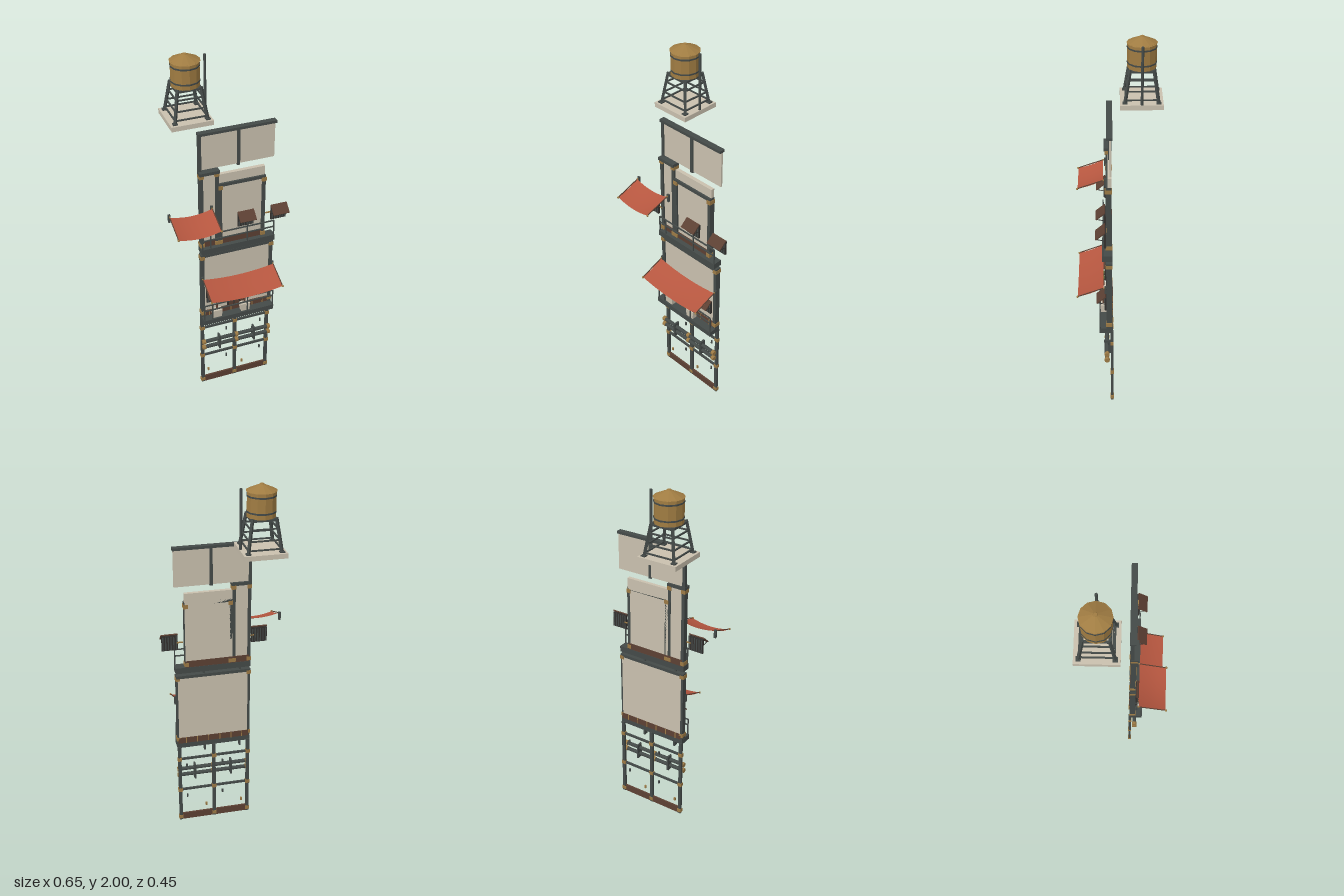
import * as THREE from 'three';

const mat = (color, extra = {}) => new THREE.MeshStandardMaterial({ color, flatShading: true, ...extra });
const M = {
  wall: mat(0xc9c0ae), iron: mat(0x444a48), red: mat(0xb5563f, { side: THREE.DoubleSide, flatShading: false }),
  brown: mat(0x5c4033), dark: mat(0x33302e), gold: mat(0x9c7a45), leaf: mat(0x5a6b30), tank: mat(0xa07c42),
};

export function createModel() {
  const root = new THREE.Group();
  let group = root;
  const section = (name) => { group = new THREE.Group(); group.name = name; root.add(group); };
  const add = (name, geo, m, x = 0, y = 0, z = 0) => {
    const mesh = new THREE.Mesh(geo, m);
    mesh.name = name;
    mesh.position.set(x, y, z);
    group.add(mesh);
    return mesh;
  };
  // Box given by its extents
  const box = (name, m, x0, x1, y0, y1, z0, z1) => add(name, new THREE.BoxGeometry(x1 - x0, y1 - y0, z1 - z0), m,
    (x0 + x1) / 2, (y0 + y1) / 2, (z0 + z1) / 2);
  // Square bar between two points
  const bar = (name, m, a, b, t) => {
    const A = new THREE.Vector3(...a), B = new THREE.Vector3(...b);
    const mesh = add(name, new THREE.BoxGeometry(t, t, A.distanceTo(B)), m);
    mesh.position.copy(A).lerp(B, 0.5);
    mesh.lookAt(B);
    return mesh;
  };
  const post = (x, y0, y1, z0 = 0.035, z1 = 0.065, w = 0.018) => box('post', M.iron, x - w / 2, x + w / 2, y0, y1, z0, z1);
  const bracket = (x, y, z0 = 0.033, z1 = 0.069) => box('jointBracket', M.gold, x - 0.012, x + 0.012, y - 0.011, y + 0.011, z0, z1);

  // Sagging cloth awning with wall hooks and front weights
  const awning = (x0, x1, yBack, yFront) => {
    const geo = new THREE.PlaneGeometry(2, 1, 16, 6);
    const p = geo.attributes.position;
    for (let i = 0; i < p.count; i++) {
      const u = p.getX(i), v = 0.5 - p.getY(i);
      const sag = 0.018 * (1 - u * u) + 0.006 * Math.sin(Math.PI * v);
      p.setXYZ(i, (x0 + x1) / 2 + u * (x1 - x0) / 2, yBack + (yFront - yBack) * v - sag, 0.08 + 0.135 * v);
    }
    geo.computeVertexNormals();
    add('awningCloth', geo, M.red);
    for (const x of [x0, x1]) {
      box('awningHook', M.iron, x - 0.006, x + 0.006, yBack - 0.035, yBack + 0.01, 0.063, 0.074);
      bar('awningRope', M.gold, [x, yBack, 0.068], [x, yBack, 0.082], 0.006);
      bar('awningEdge', M.brown, [x, yBack, 0.08], [x, yFront, 0.217], 0.004);
      add('awningKnob', new THREE.IcosahedronGeometry(0.006, 1), M.gold, x, yFront, 0.216);
    }
  };

  // Slatted window under a small tilted hood
  const shutter = (x, y) => {
    box('window', M.dark, x - 0.043, x + 0.043, y, y + 0.082, 0.064, 0.074);
    for (let i = 0; i < 6; i++) {
      const sx = x - 0.036 + i * 0.0144;
      box('windowSlat', M.iron, sx - 0.003, sx + 0.003, y + 0.003, y + 0.078, 0.062, 0.077);
    }
    const hood = box('windowHood', M.brown, x - 0.045, x + 0.045, y + 0.067, y + 0.073, 0.065, 0.126);
    hood.position.z = 0.093;
    hood.rotation.x = 0.72;
    for (const s of [-1, 1]) bar('hoodStay', M.dark, [x + s * 0.038, y + 0.04, 0.07], [x + s * 0.038, y + 0.05, 0.113], 0.003);
  };

  // Two-rail balcony railing
  const railing = (y0, heights, z) => {
    for (const h of heights) box('rail', M.iron, -0.15, 0.25, h - 0.003, h + 0.003, z - 0.003, z + 0.003);
    for (const x of [-0.15, -0.105, 0.1, 0.25])
      box('railPost', M.iron, x - 0.003, x + 0.003, y0, heights.at(-1) + (x === 0.1 ? 0.03 : 0), z - 0.003, z + 0.003);
  };

  // Open ground-floor frame
  section('groundFrame');
  box('sill', M.brown, -0.15, 0.25, 0, 0.04, 0.033, 0.043);
  for (const x of [-0.145, 0.05, 0.245]) {
    post(x, 0, 0.49, 0.03, 0.044);
    for (const y of [0.02, 0.205, 0.41]) bracket(x, y, 0.028, 0.046);
  }
  for (const y of [0.205, 0.41]) box('crossbar', M.iron, -0.15, 0.25, y - 0.006, y + 0.006, 0.033, 0.043);
  for (const x of [0, 0.205]) {
    for (const y of [0.16, 0.365]) box('latch', M.iron, x - 0.004, x + 0.004, y - 0.01, y + 0.01, 0.033, 0.04);
    box('handle', M.gold, x - 0.115, x - 0.105, 0.075, 0.093, 0.033, 0.041);
  }
  box('handle', M.gold, 0.09, 0.1, 0.075, 0.093, 0.033, 0.041);

  // Paired pipes with collars and clamps
  section('pipes');
  for (const y of [0.288, 0.327]) {
    add('pipe', new THREE.CylinderGeometry(0.011, 0.011, 0.39, 10), M.iron, 0.05, y, 0.064).rotation.z = Math.PI / 2;
    for (const x of [-0.145, 0.05, 0.245])
      add('pipeCollar', new THREE.CylinderGeometry(0.014, 0.014, 0.018, 10), M.gold, x, y, 0.064).rotation.z = Math.PI / 2;
  }
  for (const x of [-0.053, 0.155]) box('pipeClamp', M.iron, x - 0.005, x + 0.005, 0.262, 0.352, 0.044, 0.08);

  // Middle storey
  section('middleStorey');
  box('balcony', M.iron, -0.155, 0.255, 0.485, 0.515, 0.035, 0.105);
  for (const x of [-0.1, 0.1]) box('joist', M.iron, x - 0.005, x + 0.005, 0.455, 0.485, 0.035, 0.06);
  box('wall', M.wall, -0.14, 0.245, 0.54, 0.925, 0.035, 0.056);
  box('baseboard', M.brown, -0.145, 0.25, 0.515, 0.55, 0.033, 0.061);
  for (let i = 0; i < 6; i++) box('baseBlock', M.gold, -0.112 + i * 0.063, -0.107 + i * 0.063, 0.515, 0.55, 0.031, 0.063);
  for (const x of [-0.145, 0.245]) {
    post(x, 0.515, 0.935);
    for (const y of [0.54, 0.915]) bracket(x, y);
  }
  box('topBeam', M.iron, -0.155, 0.255, 0.918, 0.935, 0.033, 0.067);
  box('door', M.brown, 0, 0.1, 0.55, 0.73, 0.054, 0.064);
  for (const x of [0.0, 0.033, 0.066, 0.1]) box('doorStrip', M.dark, x - 0.003, x + 0.003, 0.55, 0.73, 0.055, 0.067);
  for (const x of [-0.085, 0.185]) shutter(x, 0.615);
  railing(0.515, [0.58, 0.615], 0.1);
  awning(-0.15, 0.255, 0.785, 0.73);

  // Planters with small trees
  section('planters');
  for (const x of [-0.073, 0.09]) {
    const pot = add('pot', new THREE.CylinderGeometry(0.039, 0.034, 0.047, 4), M.wall, x, 0.54, 0.082);
    pot.geometry.rotateY(Math.PI / 4);
    pot.scale.z = 0.6;
    add('trunk', new THREE.CylinderGeometry(0.004, 0.006, 0.07, 6), M.brown, x, 0.59, 0.082);
    for (const [dx, dy, r] of [[-0.016, 0.63, 0.014], [0.016, 0.627, 0.014], [0, 0.645, 0.016]]) {
      add('foliage', new THREE.IcosahedronGeometry(r, 0), M.leaf, x + dx, dy, 0.082).scale.y = 0.8;
    }
  }

  // Upper storey with a tall bay and a lower bay
  section('upperStorey');
  box('floorBeam', M.iron, -0.155, 0.255, 0.95, 0.983, 0.033, 0.085);
  for (const x of [-0.1, 0.1]) box('joist', M.iron, x - 0.005, x + 0.005, 0.928, 0.952, 0.04, 0.07);
  box('tallWall', M.wall, -0.145, -0.055, 1.0, 1.43, 0.036, 0.056);
  box('lowWall', M.wall, -0.055, 0.2, 1.0, 1.405, 0.035, 0.055);
  box('baseboard', M.brown, -0.145, 0.2, 0.983, 1.02, 0.034, 0.06);
  for (const x of [-0.145, -0.062]) {
    post(x, 0.983, 1.43);
    for (const y of [0.998, 1.415]) bracket(x, y);
  }
  for (const x of [-0.044, 0.194]) {
    post(x, 0.983, 1.345);
    for (const y of [0.998, 1.332]) bracket(x, y);
  }
  box('tallCap', M.iron, -0.157, -0.05, 1.424, 1.441, 0.033, 0.075);
  box('lowBeam', M.iron, -0.053, 0.203, 1.338, 1.355, 0.035, 0.066);
  for (const x of [-0.208, 0.092, 0.277]) shutter(x, 1.078);
  for (const x of [-0.155, 0.232]) box('windowArm', M.gold, x - 0.025, x + 0.01, 1.118, 1.124, 0.06, 0.066);
  railing(0.983, [1.035, 1.073], 0.08);
  awning(-0.32, -0.094, 1.228, 1.178);

  // Parapet panel
  section('parapet');
  box('panel', M.wall, -0.145, 0.253, 1.445, 1.645, 0.036, 0.046);
  box('coping', M.iron, -0.157, 0.257, 1.641, 1.655, 0.03, 0.06);
  for (const x of [-0.147, 0.058]) post(x, 1.438, 1.645, 0.034, 0.052, 0.016);

  // Water tower on its slab
  section('waterTower');
  const cx = -0.156, cz = -0.118;
  box('slab', M.wall, -0.265, -0.048, 1.653, 1.678, -0.226, -0.01);
  const corners = [[-1, -1], [1, -1], [1, 1], [-1, 1]];
  const at = ([sx, sz], y) => {
    const r = 0.084 - (y - 1.678) * 0.15;
    return [cx + sx * r, y, cz + sz * r];
  };
  corners.forEach((c, i) => {
    const n = corners[(i + 1) % 4];
    bar('towerLeg', M.iron, at(c, 1.675), at(c, 1.845), 0.013);
    for (const y of [1.695, 1.738, 1.793, 1.835]) bar('towerBrace', M.iron, at(c, y), at(n, y), y > 1.8 ? 0.011 : 0.007);
    box('legFoot', M.iron, cx + c[0] * 0.084 - 0.012, cx + c[0] * 0.084 + 0.012, 1.678, 1.684,
      cz + c[1] * 0.084 - 0.012, cz + c[1] * 0.084 + 0.012);
  });
  const cyl = (name, m, r0, r1, y0, y1, n = 12) => add(name, new THREE.CylinderGeometry(r1, r0, y1 - y0, n), m, cx, (y0 + y1) / 2, cz);
  cyl('tankBody', M.tank, 0.073, 0.073, 1.84, 1.968);
  cyl('tankRoof', M.tank, 0.077, 0.012, 1.966, 1.996);
  cyl('roofCap', M.tank, 0.013, 0.009, 1.994, 2.0);
  for (const y of [1.867, 1.945]) cyl('tankBand', M.iron, 0.075, 0.075, y - 0.004, y + 0.004);
  add('standpipe', new THREE.CylinderGeometry(0.007, 0.007, 0.305, 8), M.iron, -0.055, 1.828, cz);

  return root;
}
